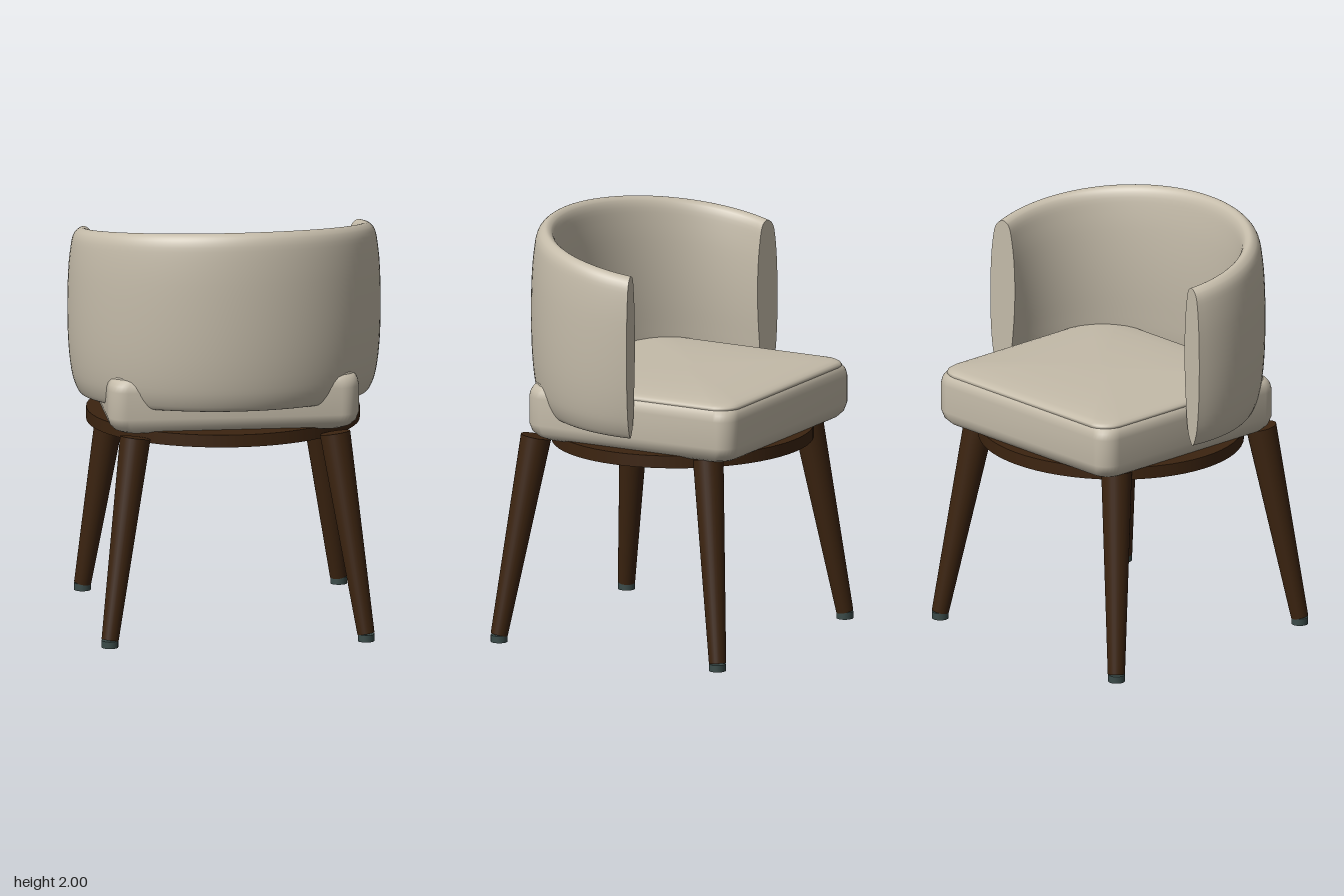
import * as THREE from 'three';

const fabric = new THREE.MeshStandardMaterial({ name: 'beige fabric', color: 0xc4bba9 });
const wood = new THREE.MeshStandardMaterial({ name: 'dark wood', color: 0x3c2410 });
const rubber = new THREE.MeshStandardMaterial({ name: 'grey foot', color: 0x3a4a48 });

function addMesh(parent, name, geometry, material) {
  const mesh = new THREE.Mesh(geometry, material);
  mesh.name = name;
  parent.add(mesh);
  return mesh;
}

// Skin over a row of closed cross-sections, each an array of Vector3
function loft(rings) {
  const n = rings[0].length, index = [];
  for (let i = 0; i < rings.length - 1; i++) {
    for (let j = 0; j < n; j++) {
      const k = (j + 1) % n;
      const a = i * n + j, b = i * n + k, c = a + n, d = b + n;
      index.push(a, b, d, a, d, c);
    }
  }
  const geo = new THREE.BufferGeometry().setFromPoints(rings.flat());
  geo.setIndex(index);
  geo.computeVertexNormals();
  return geo;
}

// Flat end face over one closed cross-section
function cap(ring, reverse) {
  const centre = ring.reduce((s, p) => s.add(p), new THREE.Vector3()).divideScalar(ring.length);
  const index = [], n = ring.length;
  for (let j = 0; j < n; j++) {
    const k = (j + 1) % n;
    index.push(n, reverse ? k : j, reverse ? j : k);
  }
  const geo = new THREE.BufferGeometry().setFromPoints([...ring, centre]);
  geo.setIndex(index);
  geo.computeVertexNormals();
  return geo;
}

// Upholstered pad: rounded rectangle in plan, levels are [inset, y] from bottom to top
function pad(hx, hz, radius, cz, levels) {
  const plan = [];
  const corners = [[1, 1], [-1, 1], [-1, -1], [1, -1]];
  corners.forEach(([sx, sz], q) => {
    for (let i = 0; i <= 8; i++) {
      const a = (q + i / 8) * Math.PI / 2;
      plan.push([sx * (hx - radius) + radius * Math.cos(a), sz * (hz - radius) + radius * Math.sin(a)]);
    }
  });
  return loft(levels.map(([o, y]) => plan.map(([x, p]) =>
    new THREE.Vector3(x * (1 - o / hx), y, cz - p * (1 - o / hz)))));
}

// Wrap-around backrest: lens-shaped section swept along an ellipse, lower towards the arms
function backrestRings() {
  const profile = new THREE.CatmullRomCurve3([
    [-0.07, 1], [-0.035, 0.97], [-0.012, 0.85], [0, 0.5], [-0.012, 0.2], [-0.035, 0.06],
    [-0.065, 0], [-0.1, 0.05], [-0.13, 0.3], [-0.14, 0.6], [-0.125, 0.86], [-0.1, 0.98],
  ].map(([d, v]) => new THREE.Vector3(d, v, 0)), true).getPoints(60).slice(0, -1);
  const rings = [], steps = 64, end = 1.8;
  for (let i = 0; i <= steps; i++) {
    const t = -end + 2 * end * i / steps;
    const s = Math.sin(t), c = Math.cos(t);
    const run = 0.59 * c + 0.14;
    const top = 1.88 + 0.164 * run, bottom = 1.09 + 0.055 * run;
    rings.push(profile.map(p => new THREE.Vector3(
      (0.745 + p.x) * s, bottom + (top - bottom) * p.y, (0.66 + p.x) * c)));
  }
  return rings;
}

export function createModel() {
  const chair = new THREE.Group();
  chair.name = 'chair';

  // Seat base and the slightly crowned cushion set into it
  addMesh(chair, 'seatBase', pad(0.6, 0.565, 0.09, -0.075, [
    [0.565, 0.995], [0.08, 0.995], [0.06, 0.997], [0.035, 1.01], [0.012, 1.035], [0, 1.075],
    [0, 1.205], [0.006, 1.235], [0.018, 1.255], [0.035, 1.264], [0.05, 1.265], [0.565, 1.265],
  ]), fabric);
  addMesh(chair, 'seatCushion', pad(0.58, 0.543, 0.1, -0.0825, [
    [0.01, 1.24], [0, 1.258], [0.003, 1.268], [0.015, 1.277], [0.04, 1.284],
    [0.12, 1.293], [0.25, 1.3], [0.4, 1.304], [0.543, 1.305],
  ]), fabric);

  // Backrest with its two arm ends
  const rings = backrestRings();
  const backrest = new THREE.Group();
  backrest.name = 'backrest';
  chair.add(backrest);
  addMesh(backrest, 'backrestShell', loft(rings), fabric);
  addMesh(backrest, 'rightArmEnd', cap(rings[0], true), fabric);
  addMesh(backrest, 'leftArmEnd', cap(rings[rings.length - 1], false), fabric);

  // Oval wooden plate under the seat
  const plate = addMesh(chair, 'seatPlate', new THREE.CylinderGeometry(1, 1, 0.06, 64), wood);
  plate.scale.set(0.65, 1, 0.615);
  plate.position.set(0, 0.98, -0.045);

  // Splayed tapered legs with feet
  for (const side of [-1, 1]) {
    for (const [topZ, footZ] of [[0.485, 0.61], [-0.455, -0.582]]) {
      const top = new THREE.Vector3(side * 0.477, 0.99, topZ);
      const bottom = new THREE.Vector3(side * 0.611, 0.035, footZ);
      const axis = top.clone().sub(bottom);
      const leg = addMesh(chair, 'leg', new THREE.CylinderGeometry(0.073, 0.041, axis.length(), 28), wood);
      leg.position.copy(top).add(bottom).multiplyScalar(0.5);
      leg.quaternion.setFromUnitVectors(new THREE.Vector3(0, 1, 0), axis.normalize());
      const foot = addMesh(chair, 'foot', new THREE.CylinderGeometry(0.04, 0.04, 0.034, 28), rubber);
      foot.position.set(side * 0.612, 0.017, footZ);
    }
  }
  return chair;
}
